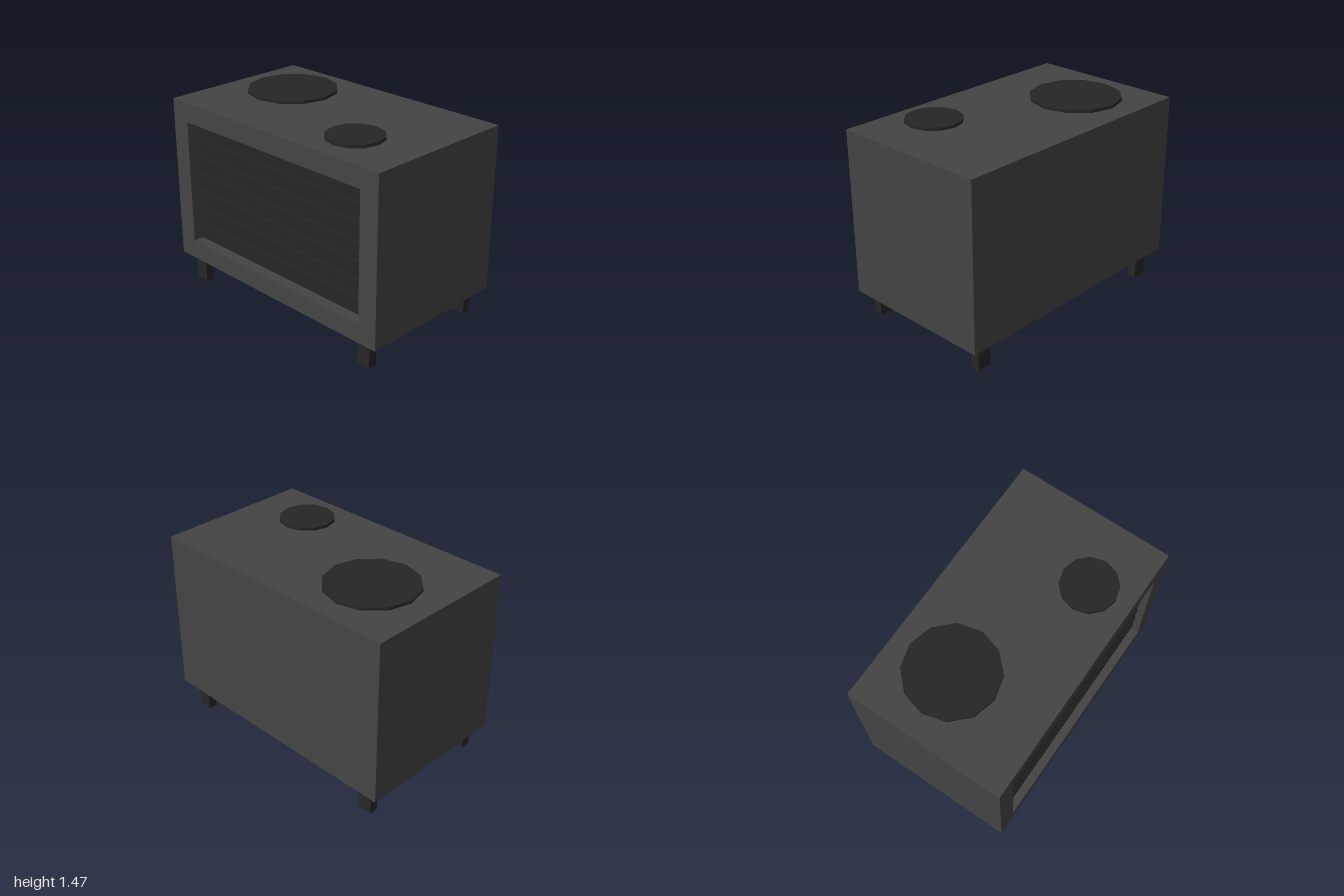
import * as THREE from 'three';

export function createModel() {
  const model = new THREE.Group();
  const bodyMat = new THREE.MeshStandardMaterial({ color: 0x444444, flatShading: true });
  const darkMat = new THREE.MeshStandardMaterial({ color: 0x262626, flatShading: true });

  function add(name, geometry, material, x, y, z) {
    const mesh = new THREE.Mesh(geometry, material);
    mesh.name = name;
    mesh.position.set(x, y, z);
    model.add(mesh);
    return mesh;
  }

  // Cabinet dimensions
  const bottom = 0.2, top = 1.437, halfZ = 0.592;
  const recess = 0.085, recessZ = halfZ - recess;
  const openX = 0.85, openBottom = 0.345, openTop = 1.29;

  // Solid cabinet behind the front frame
  add('cabinet', new THREE.BoxGeometry(2, top - bottom, 2 * halfZ - recess), bodyMat,
    0, (top + bottom) / 2, -recess / 2);

  // Front frame around the grille opening
  const rect = (path, x, y0, y1) =>
    path.moveTo(-x, y0).lineTo(x, y0).lineTo(x, y1).lineTo(-x, y1).closePath();
  const frame = rect(new THREE.Shape(), 1, bottom, top);
  frame.holes.push(rect(new THREE.Path(), openX, openBottom, openTop));
  add('frontFrame', new THREE.ExtrudeGeometry(frame, { depth: recess, bevelEnabled: false }),
    bodyMat, 0, 0, recessZ);

  // Dark grille panel with evenly spaced raised slats
  const slats = 7, pitch = (openTop - openBottom) / slats, slatDepth = 0.03;
  add('grillePanel', new THREE.BoxGeometry(2 * openX, openTop - openBottom, 0.004), darkMat,
    0, (openTop + openBottom) / 2, recessZ + 0.002);
  for (let i = 0; i < slats; i++) {
    add('grilleSlat', new THREE.BoxGeometry(2 * openX, pitch / 2, slatDepth), darkMat,
      0, openTop - pitch * (i + 0.25), recessZ + slatDepth / 2);
  }

  // Four short legs
  for (const x of [-0.85, 0.85]) {
    for (const z of [0.507, -0.493]) {
      add('leg', new THREE.BoxGeometry(0.108, bottom, 0.066), darkMat, x, bottom / 2, z);
    }
  }

  // Twelve-sided plates hovering just above the top
  const plate = (name, r, x, z) =>
    add(name, new THREE.CylinderGeometry(r, r, 0.022, 12), darkMat, x, 1.46, z);
  plate('largePlate', 0.334, -0.503, -0.123);
  plate('smallPlate', 0.204, 0.505, 0.273);

  return model;
}
